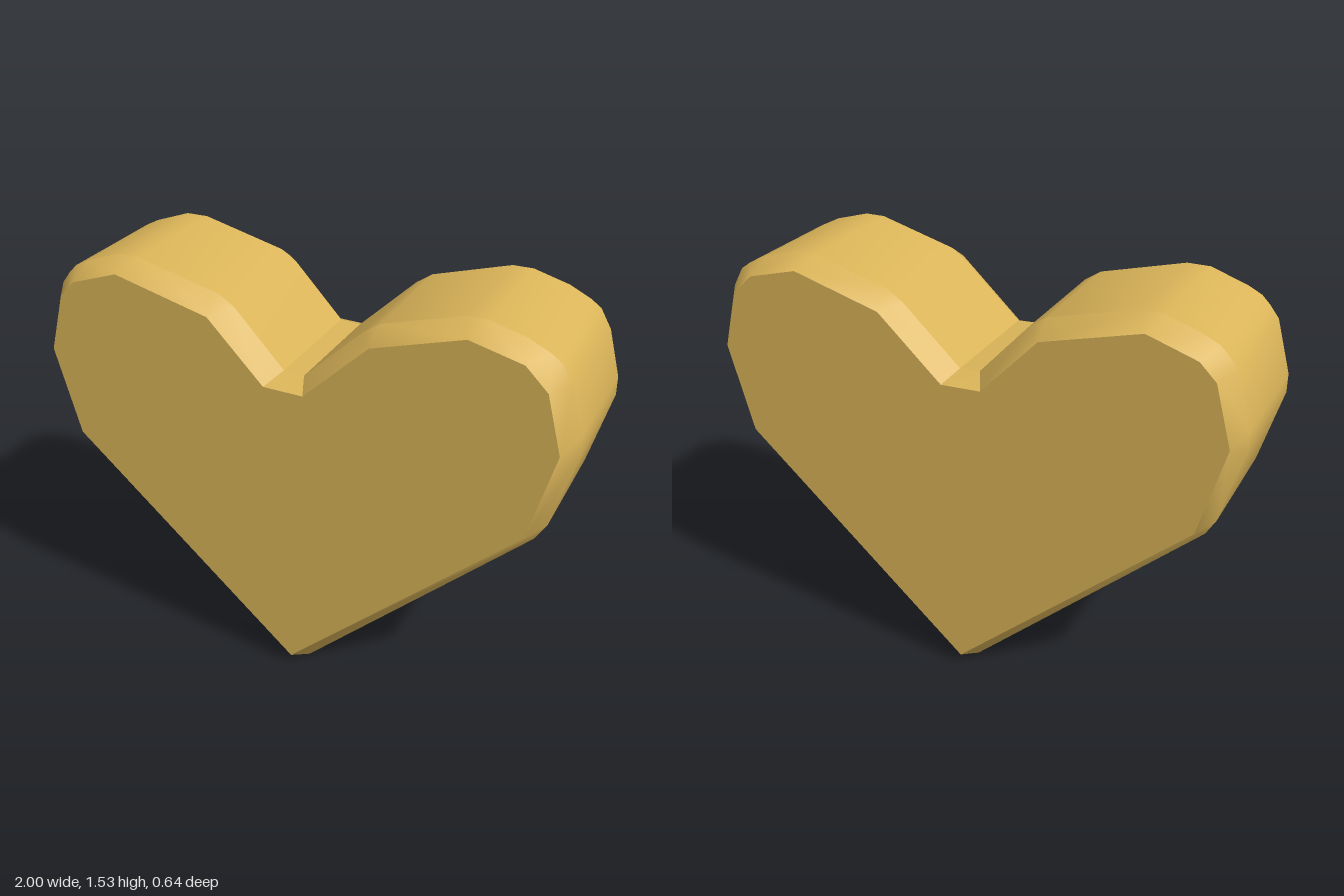
import * as THREE from 'three';
import { toCreasedNormals } from 'three/addons/utils/BufferGeometryUtils.js';

const FACE_Z = 0.322; // flat faces
const WALL_Z = 0.24;  // where the side wall meets the bevel

// Each heart corner, counter-clockwise from the tip:
// the face corner, then the wall points its bevel spreads to
const corners = [
  [[0, 0.04], [-0.036, 0.005], [0.04, 0]],
  [[0.865, 0.82], [0.88, 0.775], [0.92, 0.84]],
  [[0.955, 1.15], [1, 1.12], [1, 1.19]],
  [[0.90, 1.36], [0.955, 1.36], [0.915, 1.43]],
  [[0.82, 1.44], [0.877, 1.457], [0.80, 1.495]],
  [[0.63, 1.49], [0.67, 1.532], [0.595, 1.532]],
  [[0.30, 1.395], [0.305, 1.45], [0.245, 1.41]],
  [[0.06, 1.17], [0.027, 1.205]],
  [[-0.09, 1.175], [-0.05, 1.21]],
  [[-0.30, 1.395], [-0.235, 1.41], [-0.295, 1.45]],
  [[-0.66, 1.49], [-0.61, 1.532], [-0.695, 1.532]],
  [[-0.84, 1.43], [-0.83, 1.485], [-0.88, 1.46]],
  [[-0.90, 1.37], [-0.91, 1.43], [-0.945, 1.385]],
  [[-0.96, 1.15], [-1, 1.19], [-1, 1.12]],
  [[-0.87, 0.82], [-0.92, 0.84], [-0.885, 0.78]],
];

// Triangles to geometry, smooth round the lobes and sharp at tip and notch
function toGeometry(triangles) {
  const g = new THREE.BufferGeometry();
  g.setAttribute('position', new THREE.Float32BufferAttribute(triangles.flat(2), 3));
  g.computeVertexNormals();
  return toCreasedNormals(g, THREE.MathUtils.degToRad(33));
}

// Mirror triangles to the back, keeping them facing outward
const mirrorZ = (triangles) =>
  triangles.map(([a, b, c]) => [a, c, b].map(([x, y, z]) => [x, y, -z]));

function faceTriangles() {
  const outline = corners.map(([p]) => new THREE.Vector2(...p));
  return THREE.ShapeUtils.triangulateShape(outline, [])
    .map((tri) => tri.map((i) => [outline[i].x, outline[i].y, FACE_Z]));
}

function bevelTriangles() {
  const triangles = [];
  corners.forEach(([inner, ...outer], i) => {
    const [nextInner, nextOuter] = corners[(i + 1) % corners.length];
    const a = [...inner, FACE_Z];
    const b = [...nextInner, FACE_Z];
    const points = outer.map((p) => [...p, WALL_Z]);
    // corner fan
    for (let k = 0; k + 1 < points.length; k++) triangles.push([a, points[k], points[k + 1]]);
    // straight strip to the next corner
    const c = points[points.length - 1];
    const d = [...nextOuter, WALL_Z];
    triangles.push([a, c, d], [a, d, b]);
  });
  return triangles;
}

function wallTriangles() {
  const loop = corners.flatMap(([, ...outer]) => outer);
  return loop.flatMap((p, i) => {
    const q = loop[(i + 1) % loop.length];
    const a = [...p, WALL_Z], b = [...p, -WALL_Z];
    const c = [...q, -WALL_Z], d = [...q, WALL_Z];
    return [[a, b, c], [a, c, d]];
  });
}

export function createModel() {
  const gold = new THREE.MeshStandardMaterial({ color: 0xdbb559 });
  gold.name = 'gold';
  const heart = new THREE.Group();
  heart.name = 'heart';

  const add = (name, triangles) => {
    const mesh = new THREE.Mesh(toGeometry(triangles), gold);
    mesh.name = name;
    heart.add(mesh);
  };

  const face = faceTriangles();
  const bevel = bevelTriangles();
  add('frontFace', face);
  add('backFace', mirrorZ(face));
  add('frontBevel', bevel);
  add('backBevel', mirrorZ(bevel));
  add('sideWall', wallTriangles());
  return heart;
}
